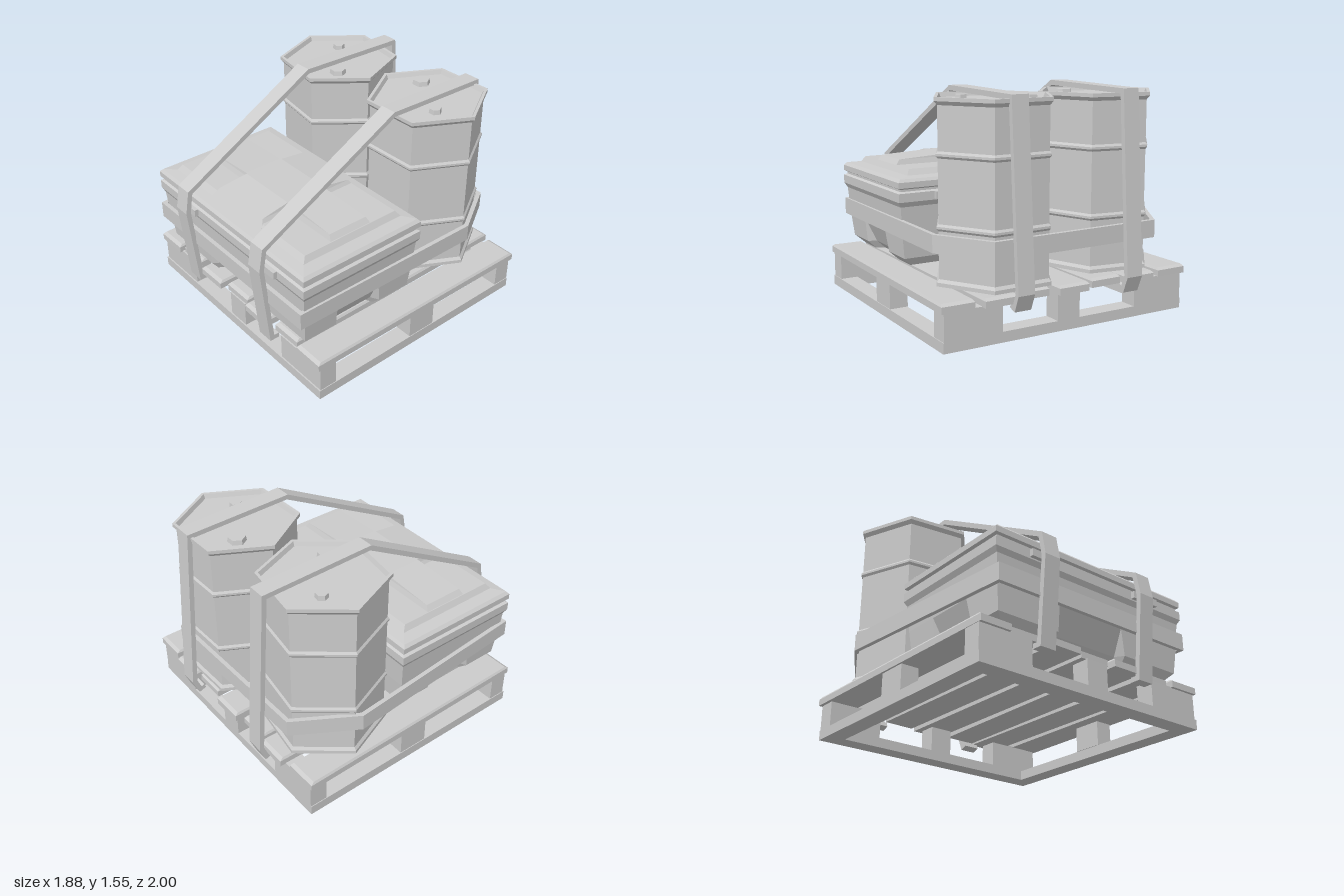
import * as THREE from 'three';

const grey = new THREE.MeshStandardMaterial({ color: 0xcccccc, flatShading: true });

function add(parent, name, geometry, x = 0, y = 0, z = 0) {
  const mesh = new THREE.Mesh(geometry, grey);
  mesh.name = name;
  mesh.position.set(x, y, z);
  parent.add(mesh);
  return mesh;
}

// box given by its lower and upper limits
function block(parent, name, [x0, x1], [y0, y1], [z0, z1]) {
  return add(parent, name, new THREE.BoxGeometry(x1 - x0, y1 - y0, z1 - z0),
    (x0 + x1) / 2, (y0 + y1) / 2, (z0 + z1) / 2);
}

// faceted solid through stacked [y, outline] levels, capped at both ends
function loft(levels) {
  const pos = [];
  const v = (l, i) => {
    const [y, pts] = levels[l];
    const p = pts[i % pts.length];
    return [p[0], y, p[1]];
  };
  const n = levels[0][1].length, top = levels.length - 1;
  for (let i = 0; i < n; i++) {
    for (let l = 0; l < top; l++) {
      const a = v(l, i), b = v(l, i + 1), c = v(l + 1, i + 1), d = v(l + 1, i);
      pos.push(...a, ...d, ...c, ...a, ...c, ...b);
    }
    pos.push(0, levels[0][0], 0, ...v(0, i), ...v(0, i + 1));
    pos.push(0, levels[top][0], 0, ...v(top, i + 1), ...v(top, i));
  }
  const g = new THREE.BufferGeometry();
  g.setAttribute('position', new THREE.Float32BufferAttribute(pos, 3));
  g.computeVertexNormals();
  return g;
}

const rect = (hx, hz) => [[hx, -hz], [hx, hz], [-hx, hz], [-hx, -hz]];

// rectangle with a shallow recess of depth n in the middle of each side
function notched(hx, hz, n = 0) {
  const half = [[hx, -hz], [hx, -0.19], [hx - n, -0.16], [hx - n, 0.16], [hx, 0.19],
    [hx, hz], [0.29, hz], [0.25, hz - n], [-0.25, hz - n], [-0.29, hz]];
  return [...half, ...half.map(([x, z]) => [-x, -z])];
}

// flat strap: outer path thickened to its left with mitred corners, then extruded
function band(points, thickness, width, closed) {
  const p = points.map(([x, y]) => new THREE.Vector2(x, y));
  const n = p.length;
  const normal = (i) => {
    const d = p[(i + 1) % n].clone().sub(p[(i + n) % n]).normalize();
    return new THREE.Vector2(-d.y, d.x);
  };
  const inner = p.map((q, i) => {
    const a = normal(!closed && i === 0 ? 0 : (i - 1 + n) % n);
    const b = normal(!closed && i === n - 1 ? n - 2 : i);
    const m = a.clone().add(b).normalize();
    return q.clone().addScaledVector(m, thickness / m.dot(b));
  });
  const shape = new THREE.Shape(closed ? p : [...p, ...inner.slice().reverse()]);
  if (closed) shape.holes.push(new THREE.Path(inner));
  return new THREE.ExtrudeGeometry(shape, { depth: width, bevelEnabled: false });
}

function makePallet() {
  const g = new THREE.Group();
  g.name = 'pallet';
  // base frame
  for (const s of [-1, 1]) {
    add(g, 'baseSideRail', new THREE.BoxGeometry(0.13, 0.07, 1.54), s * 0.86, 0.035, 0);
    add(g, 'baseEndRail', new THREE.BoxGeometry(1.85, 0.07, 0.13), 0, 0.035, s * 0.835);
  }
  // spacer blocks
  for (const z of [[0.76, 0.89], [-0.9, -0.77]]) {
    for (const x of [[-0.92, -0.52], [-0.07, 0.1], [0.51, 0.92]]) block(g, 'spacerBlock', x, [0.07, 0.255], z);
  }
  for (const s of [-1, 1]) add(g, 'sideSpacerBlock', new THREE.BoxGeometry(0.13, 0.185, 0.22), s * 0.855, 0.1625, -0.01);
  // deck slats, laid a little unevenly
  const turn = [0.012, -0.012, 0.01, 0.004, -0.012, 0.008, -0.006];
  const shift = [0, -0.03, 0.01, -0.03, 0.01, -0.03, 0];
  for (let i = 0; i < 7; i++) {
    const w = 0.115;
    const slat = add(g, 'deckSlat', loft([[0.25, rect(w, 0.91)], [0.295, rect(w, 0.91)], [0.31, rect(w - 0.01, 0.885)]]),
      (i - 3) * 0.273, 0, shift[i]);
    slat.rotation.y = turn[i];
  }
  return g;
}

function makeCrate() {
  const g = new THREE.Group();
  g.name = 'crate';
  g.position.set(-0.008, 0, 0.435);
  // tapered tub, rim, groove and lid edge
  add(g, 'crateBody', loft([
    [0.31, notched(0.70, 0.40, 0.06)], [0.37, notched(0.765, 0.445, 0.06)],
    [0.55, notched(0.785, 0.462)], [0.735, notched(0.80, 0.475)],
    [0.77, notched(0.82, 0.492)], [0.83, notched(0.82, 0.492)],
    [0.84, notched(0.80, 0.475)], [0.855, notched(0.80, 0.475)],
    [0.865, notched(0.82, 0.492)], [0.905, notched(0.82, 0.492)],
    [0.925, notched(0.80, 0.475)], [0.935, notched(0.715, 0.405)],
    [0.975, notched(0.69, 0.375)],
  ]));
  // raised cross on the lid
  add(g, 'lidLongRib', loft([[0.935, rect(0.715, 0.18)], [1.01, rect(0.655, 0.15)], [1.03, rect(0.24, 0.145)]]));
  add(g, 'lidCrossRib', loft([[0.935, rect(0.28, 0.405)], [1.0, rect(0.24, 0.36)], [1.03, rect(0.23, 0.15)]]));
  // latches
  for (const sx of [-1, 1]) for (const sz of [-1, 1]) {
    add(g, 'latch', new THREE.BoxGeometry(0.22, 0.05, 0.05), sx * 0.445, 0.805, sz * 0.495);
  }
  return g;
}

// six-sided drum; caps are [x, z, radius] in model coordinates
function makeDrum(name, x, z, turn, caps) {
  const g = new THREE.Group();
  g.name = name;
  const profile = [[0, 0.31], [0.42, 0.31], [0.42, 0.335], [0.402, 0.355],
    [0.402, 0.665], [0.415, 0.68], [0.415, 0.695], [0.402, 0.71],
    [0.402, 1.125], [0.415, 1.14], [0.415, 1.155], [0.402, 1.17],
    [0.402, 1.455], [0.425, 1.48], [0.425, 1.505], [0.402, 1.505], [0.388, 1.475], [0, 1.475]]
    .map(([r, y]) => new THREE.Vector2(r, y));
  const shell = add(g, 'drumShell', new THREE.LatheGeometry(profile, 6, Math.PI / 2), x, 0, z);
  shell.rotation.y = turn;
  for (const [cx, cz, r] of caps) {
    const cap = add(g, 'drumCap', new THREE.CylinderGeometry(r * 0.9, r, 0.035, 6), cx, 1.49, cz);
    cap.rotation.y = turn + Math.PI / 6 * (r < 0.05 ? 1 : 3);
  }
  return g;
}

export function createModel() {
  const model = new THREE.Group();
  model.name = 'loadedPallet';
  model.add(makePallet(), makeCrate());
  model.add(makeDrum('rightDrum', -0.495, -0.455, -0.15, [[-0.65, -0.59, 0.045], [-0.33, -0.31, 0.06]]));
  model.add(makeDrum('leftDrum', 0.36, -0.525, 0.02, [[0.17, -0.65, 0.065], [0.535, -0.42, 0.045]]));

  // straps running over the load from front to back
  for (const [x, kink, top] of [[-0.44, -0.08, 1.555], [0.40, -0.12, 1.547]]) {
    const path = [[0.87, 0.2], [0.94, 0.2], [1.0, 0.8], [0.97, 0.965], [kink, top],
      [-0.915, top - 0.015], [-1.0, 0.31], [-0.955, 0.2], [-0.9, 0.22]];
    const geo = band(path, 0.035, 0.12, false);
    geo.rotateY(-Math.PI / 2);
    add(model, 'overStrap', geo, x + 0.06);
  }

  // strap around the crate and drums
  const loop = [[0.80, 0.945], [-0.82, 0.945], [-0.935, -0.48], [-0.68, -0.9], [0.58, -0.92], [0.81, -0.54]];
  const geo = band(loop, 0.03, 0.12, true);
  geo.rotateX(Math.PI / 2);
  add(model, 'girthStrap', geo, 0, 0.65);
  return model;
}
